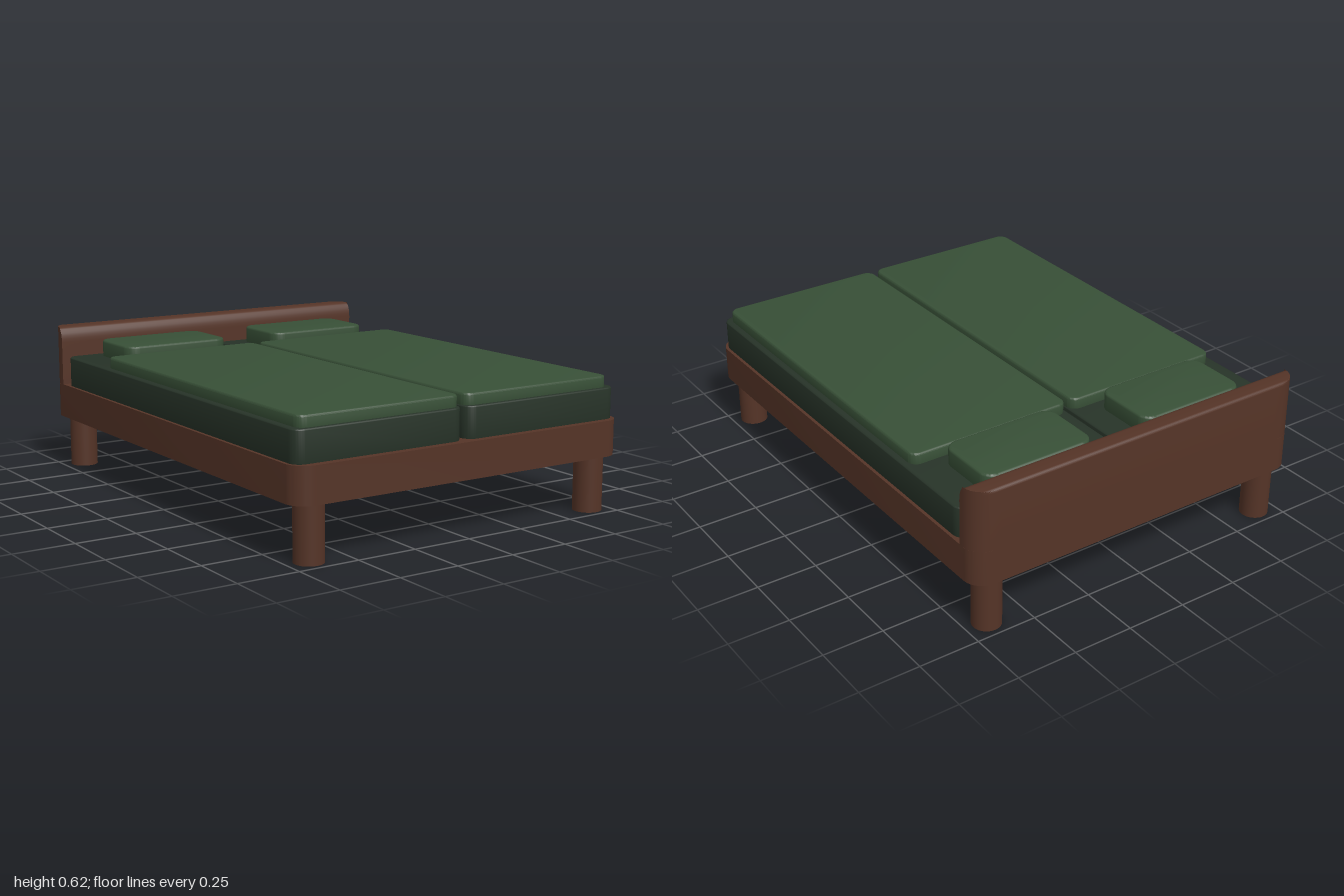
import * as THREE from 'three';
import { toCreasedNormals } from 'three/addons/utils/BufferGeometryUtils.js';

const wood = new THREE.MeshStandardMaterial({ color: 0x553427 });
const mattressFabric = new THREE.MeshStandardMaterial({ color: 0x273328 });
const bedding = new THREE.MeshStandardMaterial({ color: 0x385037 });

// Rounded rectangle centred on the origin
function roundedRect(w, d, r, path = new THREE.Shape()) {
  const x = w / 2, y = d / 2, q = Math.PI / 2;
  path.absarc(x - r, y - r, r, 0, q);
  path.absarc(-x + r, y - r, r, q, 2 * q);
  path.absarc(-x + r, -y + r, r, 2 * q, 3 * q);
  path.absarc(x - r, -y + r, r, 3 * q, 4 * q);
  path.closePath();
  return path;
}

// Upright extrusion of a plan shape from y0 to y1, with an optional soft edge
function slab(shape, y0, y1, bevel = 0) {
  const g = new THREE.ExtrudeGeometry(shape, {
    depth: y1 - y0 - 2 * bevel, curveSegments: 8,
    bevelEnabled: bevel > 0, bevelSize: bevel, bevelThickness: bevel,
    bevelOffset: -bevel, bevelSegments: 3,
  });
  g.rotateX(-Math.PI / 2).translate(0, y0 + bevel, 0);
  return toCreasedNormals(g, 0.6);
}

// Cushion-like block given by its limits in x, y and z
function block(x0, x1, y0, y1, z0, z1, r, bevel) {
  return slab(roundedRect(x1 - x0, z1 - z0, r), y0, y1, bevel)
    .translate((x0 + x1) / 2, 0, (z0 + z1) / 2);
}

// Headboard: side profile swept across the bed, back corners rounded in plan
function headboardGeometry() {
  const half = 0.76, r = 0.08;
  const s = new THREE.Shape();
  s.moveTo(-0.9, 0.37);
  s.lineTo(-0.9, 0.555);
  s.bezierCurveTo(-0.9, 0.595, -0.915, 0.62, -0.94, 0.62);
  s.lineTo(-0.985, 0.62);
  s.quadraticCurveTo(-1, 0.62, -1, 0.607);
  s.lineTo(-1, 0.37);
  s.closePath();
  const g = new THREE.ExtrudeGeometry(s, { depth: 1, steps: 40, curveSegments: 8, bevelEnabled: false });
  const p = g.attributes.position;
  for (let i = 0; i < p.count; i++) {
    const x = half * Math.sin(Math.PI * (p.getZ(i) - 0.5));
    const over = Math.max(0, Math.abs(x) - (half - r));
    const back = -1 + r - Math.sqrt(Math.max(0, r * r - over * over));
    p.setXYZ(i, -x, p.getY(i), Math.max(p.getX(i), back));
  }
  g.computeVertexNormals();
  return toCreasedNormals(g, 0.6);
}

export function createModel() {
  const bed = new THREE.Group();
  bed.name = 'doubleBed';
  const add = (name, geometry, material) => {
    const mesh = new THREE.Mesh(geometry, material);
    mesh.name = name;
    bed.add(mesh);
    return mesh;
  };

  // Thin rail around the bed, open underneath, closed by a platform on top
  const rail = roundedRect(1.52, 2, 0.08);
  rail.holes.push(roundedRect(1.5, 1.98, 0.07, new THREE.Path()));
  add('frameRail', slab(rail, 0.226, 0.37), wood);
  add('platform', slab(roundedRect(1.5, 1.98, 0.07), 0.358, 0.37), wood);
  add('headboard', headboardGeometry(), wood);

  // Round legs near the four corners
  for (const x of [-0.66, 0.66]) {
    for (const z of [-0.92, 0.92]) {
      const leg = add(
        (z > 0 ? 'front' : 'back') + (x > 0 ? 'Left' : 'Right') + 'Leg',
        new THREE.CylinderGeometry(0.058, 0.058, 0.228, 32), wood);
      leg.position.set(x, 0.114, z);
    }
  }

  // One mattress, blanket and pillow on each side
  for (const side of [1, -1]) {
    const label = side > 0 ? 'left' : 'right';
    const place = (part, material, x0, x1, ...rest) => add(label + part,
      side > 0 ? block(x0, x1, ...rest) : block(-x1, -x0, ...rest), material);
    place('Mattress', mattressFabric, 0.008, 0.747, 0.365, 0.495, -0.88, 0.97, 0.045, 0.006);
    place('Blanket', bedding, 0.012, 0.722, 0.485, 0.54, -0.535, 0.953, 0.04, 0.008);
    place('Pillow', bedding, 0.122, 0.608, 0.485, 0.565, -0.85, -0.56, 0.055, 0.01);
  }
  return bed;
}
